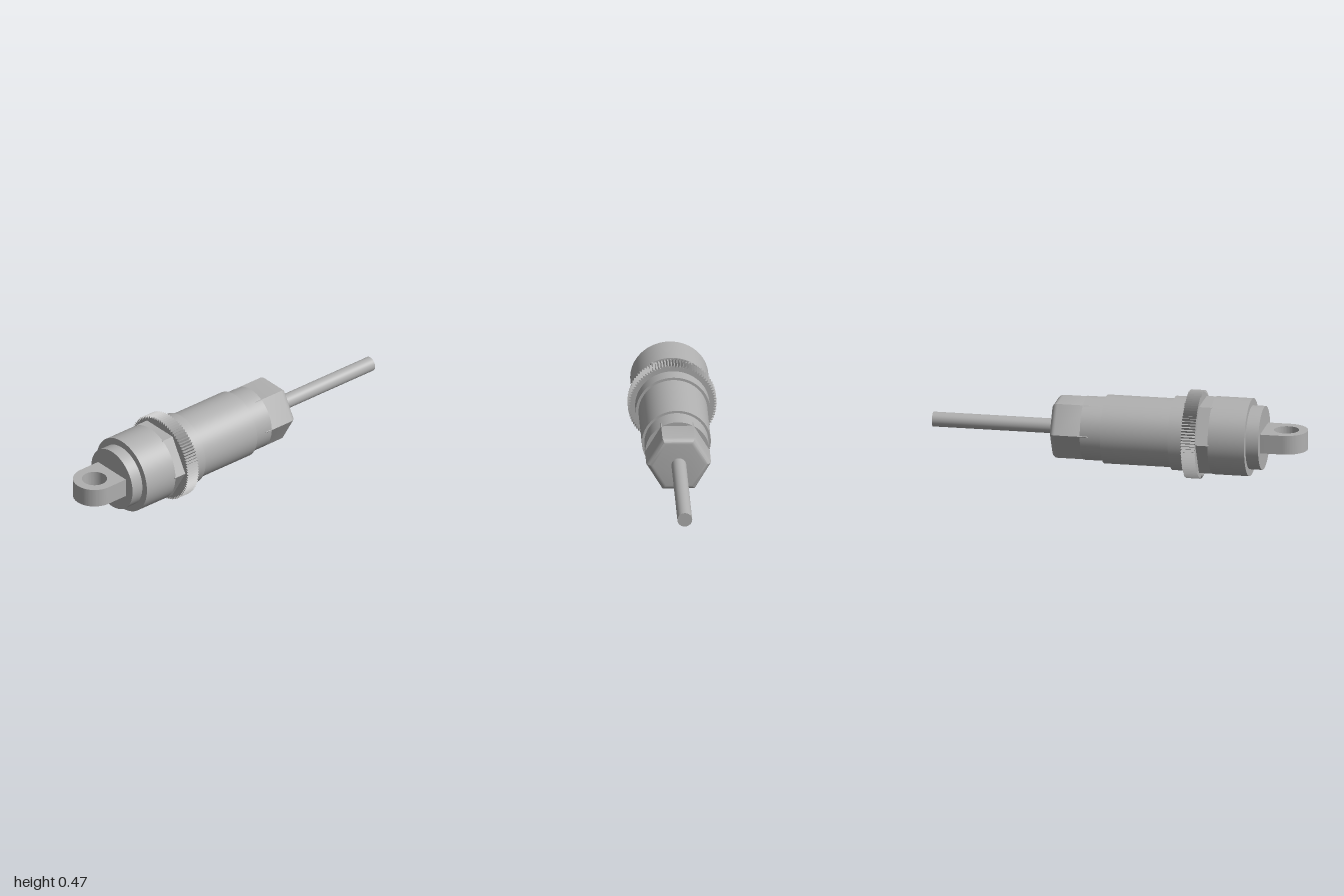
import * as THREE from 'three';
import { toCreasedNormals } from 'three/addons/utils/BufferGeometryUtils.js';

const AXIS_Y = 0.234;

export function createModel() {
  const model = new THREE.Group();
  model.name = 'cableConnector';
  const grey = new THREE.MeshStandardMaterial({ color: 0xb0b0b0 });
  grey.name = 'plain grey';

  const add = (name, geometry) => {
    const mesh = new THREE.Mesh(geometry, grey);
    mesh.name = name;
    mesh.position.y = AXIS_Y;
    model.add(mesh);
  };

  // Round section along z
  const round = (name, r, z0, z1, sides = 96) =>
    add(name, new THREE.CylinderGeometry(r, r, z1 - z0, sides)
      .rotateX(Math.PI / 2).translate(0, 0, (z0 + z1) / 2));

  // Closed outline with a radius given per corner
  const outline = (count, radiusAt, turn = 0) => {
    const points = [];
    for (let i = 0; i < count; i++) {
      const a = turn + (i / count) * Math.PI * 2;
      points.push(new THREE.Vector2(Math.cos(a) * radiusAt(i), Math.sin(a) * radiusAt(i)));
    }
    return new THREE.Shape(points);
  };

  // Body, from the cable end to the front
  round('cable', 0.039, -1, -0.3, 48);
  round('rearCollar', 0.168, -0.185, -0.07);
  round('mainBody', 0.181, -0.075, 0.292);
  round('ringSeat', 0.195, 0.29, 0.37);
  round('couplingSleeve', 0.205, 0.505, 0.70);
  round('frontCap', 0.168, 0.69, 0.767);

  // Hexagonal cable nut with a rounded end
  const fillet = 0.03;
  const nut = new THREE.ExtrudeGeometry(outline(6, () => 0.17), {
    depth: 0.17, bevelEnabled: true, bevelThickness: fillet,
    bevelSize: fillet, bevelOffset: -fillet, bevelSegments: 6,
  });
  nut.translate(0, 0, -0.35 + fillet);
  add('cableNut', toCreasedNormals(nut, 0.45));

  // Hexagonal flats behind the sleeve
  add('sleeveHex', new THREE.ExtrudeGeometry(outline(6, () => 0.208), {
    depth: 0.075, bevelEnabled: false,
  }).translate(0, 0, 0.435));

  // Knurled ring with pointed teeth
  const teeth = 90;
  add('knurledRing', new THREE.ExtrudeGeometry(
    outline(teeth * 2, (i) => (i % 2 ? 0.233 : 0.218), Math.PI / 2),
    { depth: 0.074, bevelEnabled: false },
  ).translate(0, 0, 0.366));

  // Flat pull eye with a round hole, drawn in x and z
  const r = 0.113, eyeZ = 0.887;
  const eye = new THREE.Shape();
  eye.moveTo(-r, -0.75);
  eye.lineTo(-r, -eyeZ);
  eye.absarc(0, -eyeZ, r, Math.PI, Math.PI * 2, false);
  eye.lineTo(r, -0.75);
  eye.closePath();
  const hole = new THREE.Path();
  hole.absarc(0, -eyeZ, 0.066, 0, Math.PI * 2, true);
  eye.holes.push(hole);
  const eyeGeometry = new THREE.ExtrudeGeometry(eye, {
    depth: 0.102, bevelEnabled: false, curveSegments: 32,
  });
  eyeGeometry.rotateX(-Math.PI / 2).translate(0, -0.051, 0);
  add('pullEye', toCreasedNormals(eyeGeometry, 0.5));

  return model;
}
